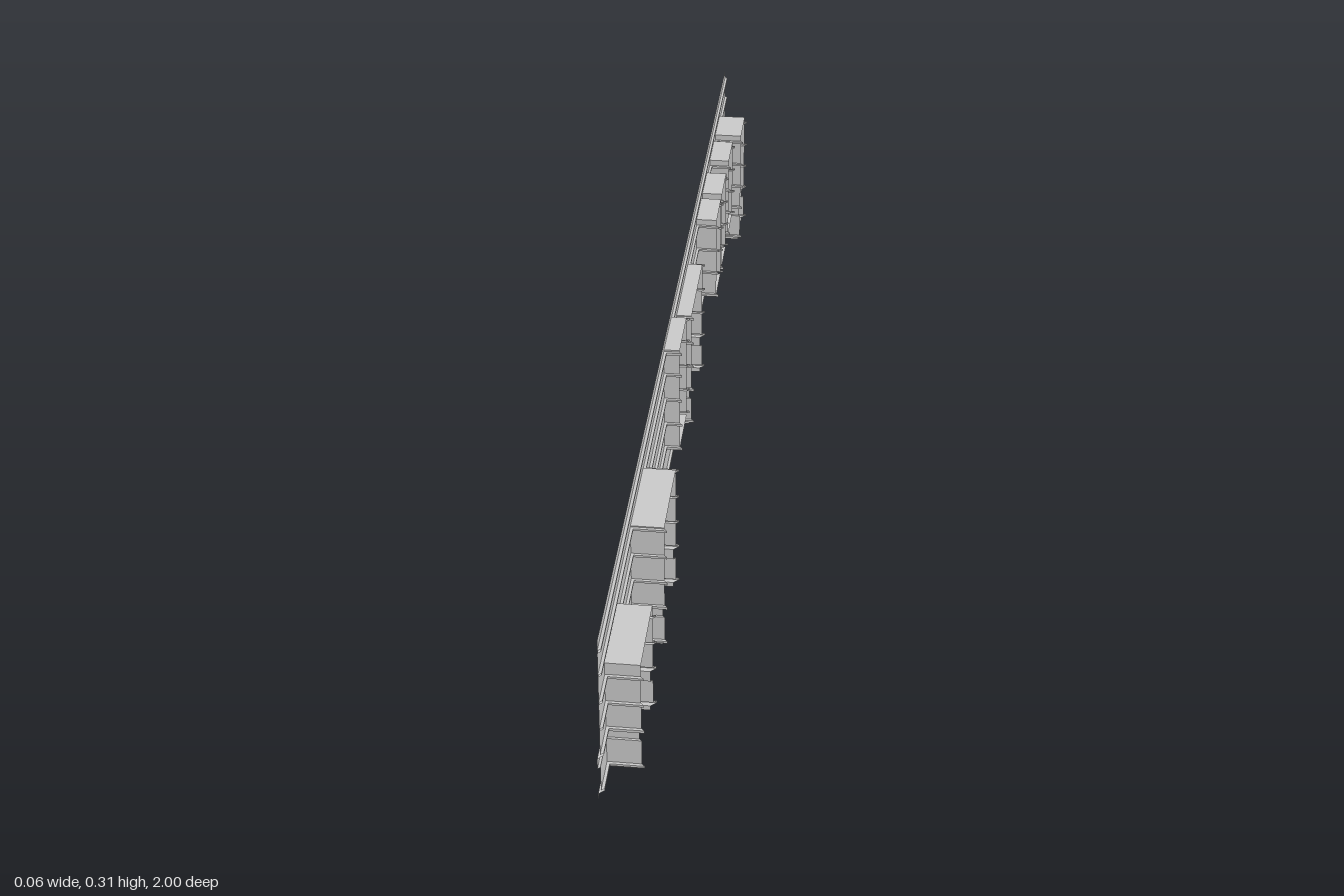
import * as THREE from 'three';

const FACE = -0.028;   // plane of the wall blocks
const TOP = 0.305;
const END = 0.996;

// Horizontal courses: [top of course, outset from the wall plane]
const COURSES = [
  [0.009, 0.004], [0.013, -0.005], [0.06, 0], [0.08, 0.004], [0.085, -0.005],
  [0.132, 0], [0.136, -0.005], [0.184, 0], [0.188, -0.005],
  [0.237, 0], [0.241, -0.005], [0.282, 0], [0.287, -0.005], [TOP, 0],
];

// Openings from back to front: z range, y range, depth of the reveal
const OPENINGS = [
  { name: 'backDoor', z0: -0.868, z1: -0.776, y0: 0, y1: 0.253, depth: 0.055 },
  { name: 'windowA', z0: -0.746, z1: -0.657, y0: 0.08, y1: 0.253, depth: 0.04 },
  { name: 'windowB', z0: -0.6, z1: -0.508, y0: 0.08, y1: 0.253, depth: 0.04 },
  { name: 'windowC', z0: -0.486, z1: -0.396, y0: 0.08, y1: 0.253, depth: 0.04 },
  { name: 'wideDoor', z0: -0.234, z1: -0.039, y0: 0, y1: 0.243, depth: 0.028 },
  { name: 'tallWindow', z0: 0.046, z1: 0.16, y0: 0.08, y1: 0.29, depth: 0.028 },
  { name: 'middleDoor', z0: 0.461, z1: 0.625, y0: 0, y1: 0.243, depth: 0.055 },
  { name: 'frontDoor', z0: 0.785, z1: 0.93, y0: 0, y1: 0.21, depth: 0.055 },
];

const material = new THREE.MeshStandardMaterial({
  color: 0xcccccc, flatShading: true, side: THREE.DoubleSide,
});

// Stepped profile of the courses between two heights, as [outset, y]
function profile(y0, y1) {
  const rows = [];
  let bottom = 0;
  for (const [top, outset] of COURSES) {
    const a = Math.max(bottom, y0), b = Math.min(top, y1);
    if (b > a) rows.push([outset, a], [outset, b]);
    bottom = top;
  }
  return rows;
}

// Sweeps a plan line, plan(outset) -> [[x, z], ...], up the stepped profile
function courseSheet(name, plan, y0, y1) {
  const rows = profile(y0, y1).map(([o, y]) => plan(o).map(([x, z]) => [x, y, z]));
  const positions = [];
  for (let i = 0; i < rows.length - 1; i++) {
    for (let j = 0; j < rows[i].length - 1; j++) {
      const a = rows[i][j], b = rows[i][j + 1], c = rows[i + 1][j + 1], d = rows[i + 1][j];
      positions.push(...a, ...b, ...c, ...a, ...c, ...d);
    }
  }
  const geometry = new THREE.BufferGeometry();
  geometry.setAttribute('position', new THREE.Float32BufferAttribute(positions, 3));
  geometry.computeVertexNormals();
  const mesh = new THREE.Mesh(geometry, material);
  mesh.name = name;
  return mesh;
}

// Flat lining of an opening, facing up (sill) or down (soffit)
function lining(name, { z0, z1, depth }, y, up) {
  const geometry = new THREE.PlaneGeometry(depth, z1 - z0);
  geometry.rotateX(up ? -Math.PI / 2 : Math.PI / 2);
  const mesh = new THREE.Mesh(geometry, material);
  mesh.name = name;
  mesh.position.set(FACE + depth / 2, y, (z0 + z1) / 2);
  return mesh;
}

export function createModel() {
  const model = new THREE.Group();
  model.name = 'rusticatedWall';

  // Full-height piers between the openings, their ends following the courses
  const starts = [-END, ...OPENINGS.map((o) => o.z1)];
  const ends = [...OPENINGS.map((o) => o.z0), END];
  starts.forEach((start, i) => {
    const plan = (o) => [[FACE - o, start - o], [FACE - o, ends[i] + o]];
    model.add(courseSheet('pier', plan, 0, TOP));
  });

  for (const opening of OPENINGS) {
    const { name, z0, z1, y0, y1, depth } = opening;
    const group = new THREE.Group();
    group.name = name;

    // Wall above and below the opening, lapping the recessed grooves of the piers
    const strip = (o) => [[FACE - o, z0 - 0.005], [FACE - o, z1 + 0.005]];
    group.add(courseSheet('wallAbove', strip, y1, TOP));
    if (y0 > 0) group.add(courseSheet('wallBelow', strip, 0, y0));

    // Jambs repeat the courses through the depth of the wall
    const backJamb = (o) => [[FACE - o, z0 + o], [FACE - o + depth, z0 + o]];
    const frontJamb = (o) => [[FACE - o + depth, z1 - o], [FACE - o, z1 - o]];
    group.add(courseSheet('backJamb', backJamb, y0, y1));
    group.add(courseSheet('frontJamb', frontJamb, y0, y1));

    group.add(lining('soffit', opening, y1, false));
    if (y0 > 0) group.add(lining('sill', opening, y0, true));
    model.add(group);
  }
  return model;
}
